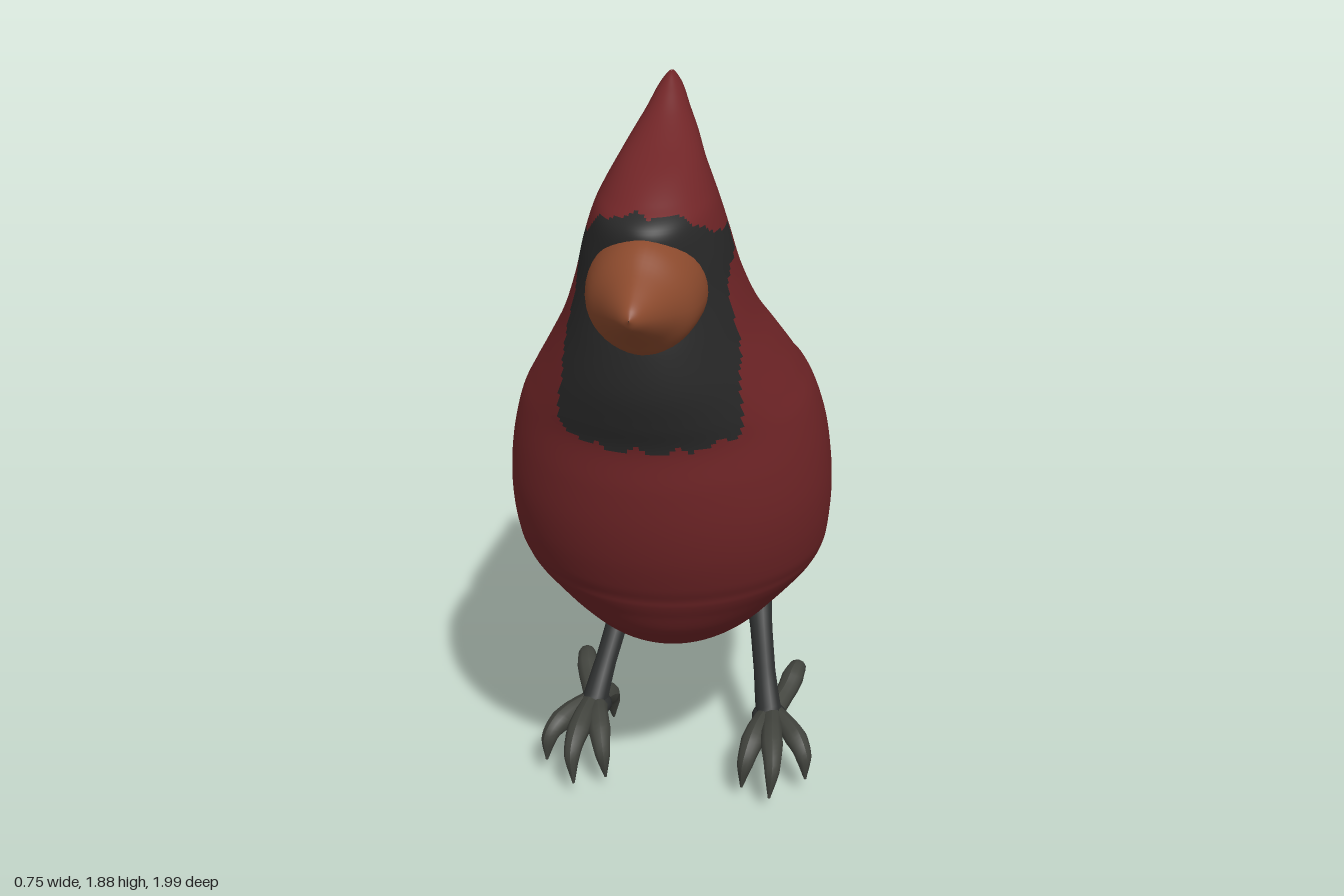
import * as THREE from 'three';

const mat = (name, color) => {
  const m = new THREE.MeshStandardMaterial({ color });
  m.name = name;
  return m;
};

// Closed-ring loft from point(u, v); pick(centre) chooses the material group of each quad.
function loft(point, rows, cols, pick = () => 0) {
  const pos = [], groups = [[], []];
  for (let i = 0; i <= rows; i++)
    for (let j = 0; j < cols; j++) pos.push(...point(i / rows, (j / cols) * Math.PI * 2));
  const at = (k) => new THREE.Vector3().fromArray(pos, k * 3);
  for (let i = 0; i < rows; i++)
    for (let j = 0; j < cols; j++) {
      const a = i * cols + j, b = i * cols + ((j + 1) % cols), c = a + cols, d = b + cols;
      const mid = at(a).add(at(b)).add(at(c)).add(at(d)).multiplyScalar(0.25);
      groups[pick(mid)].push(a, b, d, a, d, c);
    }
  const geo = new THREE.BufferGeometry();
  geo.setAttribute('position', new THREE.Float32BufferAttribute(pos, 3));
  geo.setIndex(groups.flat());
  geo.addGroup(0, groups[0].length, 0);
  geo.addGroup(groups[0].length, groups[1].length, 1);
  geo.computeVertexNormals();
  return geo;
}

// Smooth interpolation of table rows, column by column.
function smoothTable(rows) {
  const cols = rows[0].map((_, k) =>
    new THREE.CatmullRomCurve3(rows.map((r) => new THREE.Vector3(r[k], 0, 0)), false, 'catmullrom', 0.5));
  return (u) => cols.map((c) => c.getPoint(u).x);
}

// Piecewise linear lookup.
function lerpTable(rows, t) {
  for (let i = 1; i < rows.length; i++)
    if (t <= rows[i][0]) {
      const [a, b] = [rows[i - 1], rows[i]];
      return THREE.MathUtils.lerp(a[1], b[1], (t - a[0]) / (b[0] - a[0]));
    }
  return rows[rows.length - 1][1];
}

const spow = (v, p) => Math.sign(v) * Math.abs(v) ** p;

// Tube whose radius follows a list of values along its path.
function taperedTube(points, radii) {
  const curve = new THREE.CatmullRomCurve3(points.map((p) => new THREE.Vector3(...p)));
  const segs = 24, sides = 10;
  const geo = new THREE.TubeGeometry(curve, segs, 1, sides);
  const p = geo.attributes.position, v = new THREE.Vector3();
  const table = radii.map((r, i) => [i / (radii.length - 1), r]);
  for (let k = 0; k < p.count; k++) {
    const t = Math.floor(k / (sides + 1)) / segs;
    const c = curve.getPointAt(t);
    v.fromBufferAttribute(p, k).sub(c).multiplyScalar(lerpTable(table, t)).add(c);
    p.setXYZ(k, v.x, v.y, v.z);
  }
  geo.computeVertexNormals();
  return geo;
}

// Horizontal body sections: height, front z, back z, half width, z of the widest point
const BODY = [
  [0.41, 0.06, 0.04, 0.005, 0.05], [0.425, 0.23, -0.07, 0.09, 0.08], [0.47, 0.42, -0.17, 0.165, 0.14],
  [0.54, 0.56, -0.26, 0.235, 0.2], [0.62, 0.65, -0.32, 0.29, 0.26], [0.69, 0.695, -0.32, 0.335, 0.32],
  [0.725, 0.715, -0.3, 0.352, 0.35], [0.75, 0.725, -0.35, 0.362, 0.36], [0.79, 0.745, -0.36, 0.37, 0.38],
  [0.87, 0.775, -0.275, 0.377, 0.4], [0.96, 0.797, -0.17, 0.375, 0.42], [1.06, 0.81, -0.07, 0.363, 0.43],
  [1.16, 0.815, 0.03, 0.337, 0.45], [1.23, 0.835, 0.1, 0.303, 0.47], [1.31, 0.852, 0.19, 0.26, 0.5],
  [1.4, 0.85, 0.29, 0.215, 0.55], [1.5, 0.835, 0.365, 0.18, 0.59], [1.59, 0.83, 0.41, 0.157, 0.61],
  [1.66, 0.825, 0.425, 0.135, 0.61], [1.7, 0.77, 0.428, 0.117, 0.59], [1.74, 0.695, 0.42, 0.095, 0.55],
  [1.78, 0.59, 0.385, 0.072, 0.49], [1.82, 0.505, 0.367, 0.048, 0.44], [1.86, 0.44, 0.36, 0.027, 0.4],
  [1.885, 0.4, 0.37, 0.008, 0.385], [1.887, 0.385, 0.384, 0.001, 0.3845],
];

// Rear edge of the face mask: height, z
const MASK = [
  [1.165, 0.81], [1.19, 0.745], [1.3, 0.74], [1.4, 0.7], [1.5, 0.695], [1.54, 0.66], [1.555, 0.59],
  [1.61, 0.59], [1.625, 0.7], [1.66, 0.74], [1.69, 0.79],
];

export function createModel() {
  const bird = new THREE.Group();
  bird.name = 'bird';
  const red = mat('red plumage', 0x702527);
  const black = mat('black mask', 0x282828);
  const orange = mat('orange beak', 0x8c4a2d);
  const dark = mat('dark leg', 0x2d2f2f);
  const grey = mat('grey toe', 0x42443e);
  const add = (parent, name, geo, material) => {
    const m = new THREE.Mesh(geo, material);
    m.name = name;
    parent.add(m);
    return m;
  };

  // Body, head and crest in one skin, with the mask and two back flecks as a second group
  const section = smoothTable(BODY);
  const bodyPoint = (u, a) => {
    const [y, zf, zb, w, zc] = section(u);
    const c = Math.cos(a), s = Math.sin(a);
    const back = c < 0 && y > 0.6 && y < 1.2;
    const x = w * (back ? spow(s, 0.88) : s);
    let z = zc + (c > 0 ? zf - zc : zc - zb) * c;
    // notch between the folded wing tips
    if (z < 0 && y > 0.73 && y < 0.95) z += 0.025 * Math.exp(-((x / 0.035) ** 2));
    return [x, y, z];
  };
  const bodyColour = ({ x, y, z }) => {
    const h = y + 0.007 * Math.sin(x * 75) + 0.004 * Math.sin(x * 140 + 1);
    const mask = h > 1.165 && h < 1.69 && z > lerpTable(MASK, h);
    const fleck = Math.abs(x + 0.005) < 0.014 && y > 0.76 && y < 1.2 &&
      ((z < -0.09 && z > -0.21) || (z < -0.27 && z > -0.32));
    return mask || fleck ? 1 : 0;
  };
  add(bird, 'body', loft(bodyPoint, 200, 160, bodyColour), [red, black]);

  // Beak: z, top, bottom, half width
  const beak = smoothTable([
    [0.74, 1.65, 1.4, 0.128], [0.79, 1.655, 1.4, 0.127], [0.845, 1.645, 1.403, 0.113],
    [0.9, 1.61, 1.445, 0.08], [0.95, 1.583, 1.483, 0.048], [0.985, 1.562, 1.513, 0.022],
    [1, 1.542, 1.538, 0.001],
  ]);
  const beakPoint = (u, a) => {
    const [z, top, bottom, w] = beak(u);
    const c = Math.cos(a), mid = bottom + (top - bottom) * 0.46;
    return [-w * spow(Math.sin(a), 1.15), mid + (c > 0 ? top - mid : mid - bottom) * c, z];
  };
  add(bird, 'beak', loft(beakPoint, 30, 40), orange);

  // Tail: z and y of the centre line, half width, half thickness
  const tail = smoothTable([
    [-0.16, 0.73, 0.1, 0.03], [-0.22, 0.705, 0.145, 0.06], [-0.32, 0.637, 0.17, 0.062],
    [-0.5, 0.505, 0.177, 0.042], [-0.68, 0.372, 0.185, 0.034], [-0.84, 0.255, 0.207, 0.034],
    [-0.9, 0.211, 0.215, 0.035], [-0.935, 0.186, 0.205, 0.036], [-0.965, 0.166, 0.16, 0.034],
    [-0.972, 0.161, 0.12, 0.018], [-0.973, 0.16, 0.001, 0.001],
  ]);
  const tailPoint = (u, a) => {
    const [z, y, w, h] = tail(u);
    const n = h * spow(Math.cos(a), 0.6);
    return [w * spow(Math.sin(a), 0.55), y + 0.807 * n, z - 0.59 * n];
  };
  add(bird, 'tail', loft(tailPoint, 60, 48), red);

  // Toes given for the left foot
  const toes = {
    innerToe: [[0.225, 0.16, 0.25], [0.205, 0.165, 0.34], [0.185, 0.12, 0.41], [0.175, 0.045, 0.42]],
    middleToe: [[0.235, 0.165, 0.25], [0.245, 0.17, 0.36], [0.255, 0.13, 0.445], [0.25, 0.05, 0.465]],
    outerToe: [[0.24, 0.16, 0.25], [0.285, 0.16, 0.31], [0.325, 0.13, 0.37], [0.335, 0.06, 0.385]],
    rearToe: [[0.23, 0.165, 0.26], [0.215, 0.135, 0.17], [0.21, 0.09, 0.115], [0.21, 0.01, 0.09]],
    rearOuterToe: [[0.235, 0.145, 0.22], [0.265, 0.165, 0.14], [0.285, 0.185, 0.06], [0.29, 0.12, 0.0]],
  };
  for (const [side, s] of [['left', 1], ['right', -1]]) {
    const leg = new THREE.Group();
    leg.name = side + 'Leg';
    bird.add(leg);
    const flip = (pts) => pts.map(([x, y, z]) => [x * s, y, z]);
    const shank = [[0.155, 0.5, -0.06], [0.17, 0.42, 0], [0.195, 0.31, 0.12], [0.215, 0.23, 0.215], [0.23, 0.165, 0.27]];
    add(leg, 'shank', taperedTube(flip(shank), [0.045, 0.036, 0.029, 0.028, 0.034]), dark);
    const hub = add(leg, 'foot', new THREE.SphereGeometry(0.04, 16, 12), dark);
    hub.position.set(0.23 * s, 0.16, 0.26);
    hub.scale.set(1.15, 0.8, 1.2);
    for (const [name, pts] of Object.entries(toes))
      add(leg, name, taperedTube(flip(pts), [0.028, 0.026, 0.029, 0.02, 0.003]), grey);
  }
  return bird;
}
